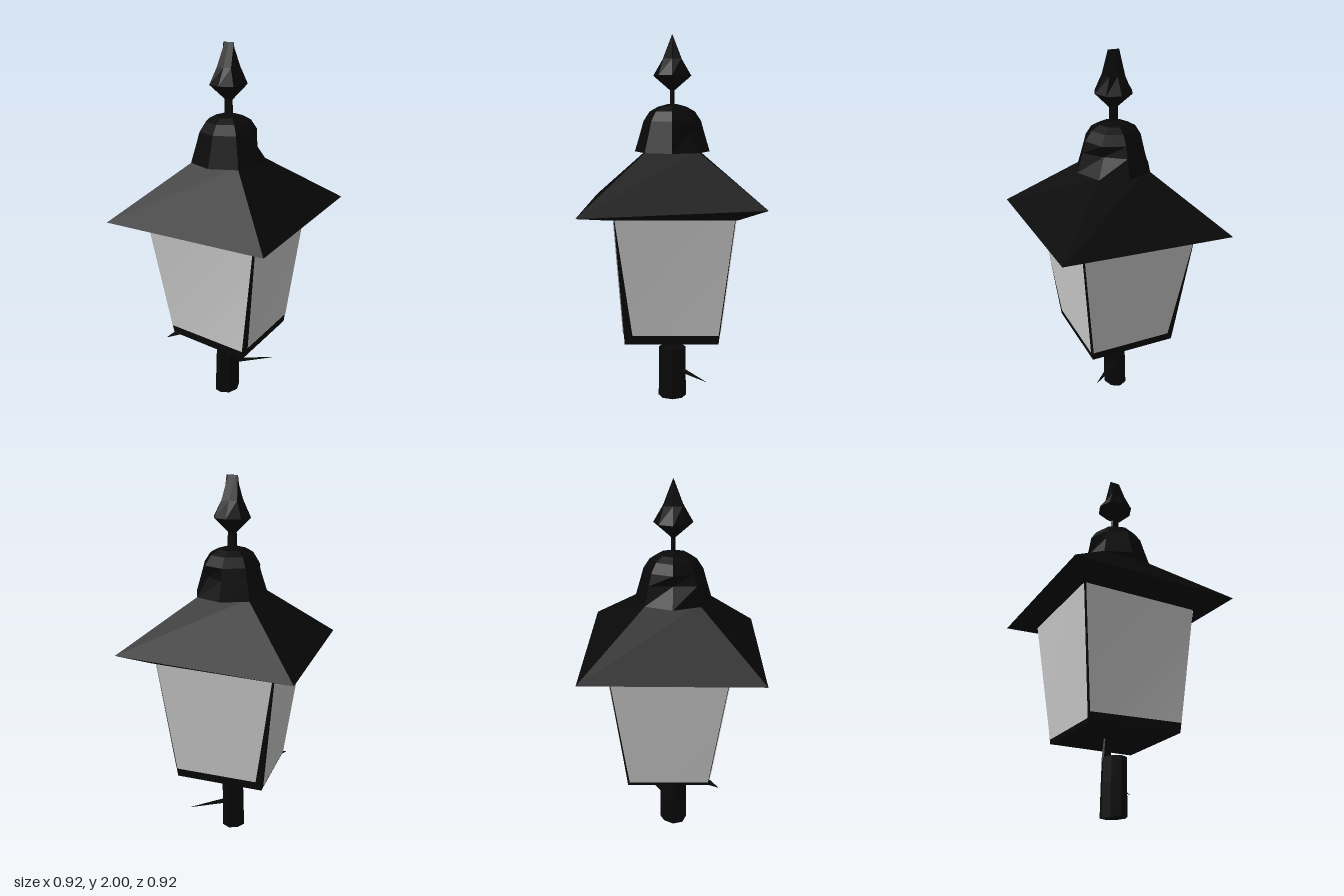
import * as THREE from 'three';

const black = new THREE.MeshStandardMaterial({ color: 0x080808, flatShading: true, side: THREE.DoubleSide });
const grey = new THREE.MeshStandardMaterial({ color: 0xcccccc, side: THREE.DoubleSide });

// Faceted solid through a stack of equal-sized rings, bottom to top, with end caps.
function loft(name, rings) {
  const pos = [];
  const tri = (a, b, c) => pos.push(...a, ...b, ...c);
  const n = rings[0].length;
  for (let r = 0; r < rings.length - 1; r++) {
    for (let i = 0; i < n; i++) {
      const j = (i + 1) % n, lo = rings[r], hi = rings[r + 1];
      tri(lo[i], lo[j], hi[j]);
      tri(lo[i], hi[j], hi[i]);
    }
  }
  const bottom = rings[0], top = rings[rings.length - 1];
  for (let i = 1; i < n - 1; i++) {
    tri(bottom[0], bottom[i + 1], bottom[i]);
    tri(top[0], top[i], top[i + 1]);
  }
  const g = new THREE.BufferGeometry();
  g.setAttribute('position', new THREE.Float32BufferAttribute(pos, 3));
  g.computeVertexNormals();
  const mesh = new THREE.Mesh(g, black);
  mesh.name = name;
  return mesh;
}

// Eight-sided ring with separate x and z radii.
function oval(y, rx, rz = rx, cx = 0, cz = 0) {
  return Array.from({ length: 8 }, (_, i) => {
    const a = (i / 8) * Math.PI * 2;
    return [cx + Math.cos(a) * rx, y, cz - Math.sin(a) * rz];
  });
}

// Four-cornered ring, counter-clockwise from above.
const square = (y, h) => [[h, y, h], [h, y, -h], [-h, y, -h], [-h, y, h]];

export function createModel() {
  const model = new THREE.Group();
  model.name = 'lantern';

  // Mounting post and the thin neck that carries the lantern
  const postFoot = oval(0.01, 0.066, 0.078, -0.008);
  postFoot[4][1] = postFoot[5][1] = 0;
  model.add(loft('post', [postFoot, oval(0.17, 0.064, 0.076, -0.006), oval(0.3, 0.061, 0.076, -0.003)]));
  model.add(loft('neck', [oval(0.28, 0.028, 0.013, -0.038, -0.02), oval(0.41, 0.019, 0.009, -0.033, -0.02)]));

  // Flat pointed spike on the post
  model.add(loft('postSpike', [
    [[0.03, 0.168, -0.03], [0.19, 0.17, -0.185], [0.0, 0.168, -0.06]],
    [[0.03, 0.175, -0.03], [0.19, 0.171, -0.185], [0.0, 0.175, -0.06]],
  ]));

  // Tapered dark body, one lower corner pushed in; shows as corner posts and base rail around the panes
  const low = [[0.232, 0.4, 0.25], [0.232, 0.4, -0.245], [-0.25, 0.4, -0.245], [-0.243, 0.4, 0.195]];
  const high = [[0.32, 1.09, 0.29], [0.302, 1.09, -0.32], [-0.325, 1.09, -0.318], [-0.325, 1.09, 0.29]];
  model.add(loft('bodyFrame', [low, high]));
  model.add(loft('baseCornerPoint', [
    [[-0.2, 0.4, 0.2], [-0.235, 0.4, 0.18], [-0.255, 0.39, 0.25]],
    [[-0.2, 0.41, 0.2], [-0.235, 0.41, 0.18], [-0.255, 0.393, 0.25]],
  ]));

  // Glass panes: left and right ring corner, outward direction, lower insets and lower edge
  const panes = [
    ['frontPane', 3, 0, [0, 1], 0.004, 0.002, 0.45],
    ['leftPane', 0, 1, [1, 0], 0.045, 0.006, 0.45],
    ['backPane', 1, 2, [0, -1], 0.006, 0.035, 0.45],
    ['rightPane', 2, 3, [-1, 0], 0.012, 0.004, 0.42],
  ];
  for (const [name, l, r, [nx, nz], insetL, insetR, y] of panes) {
    const at = (i, h) => new THREE.Vector3(...low[i]).lerp(new THREE.Vector3(...high[i]), (h - 0.4) / 0.69);
    const side = new THREE.Vector3(nz, 0, -nx);
    const out = new THREE.Vector3(nx, 0, nz).multiplyScalar(0.005);
    const corners = [
      at(l, y).addScaledVector(side, insetL), at(r, y).addScaledVector(side, -insetR),
      at(r, 1.085).addScaledVector(side, -0.003), at(l, 1.085).addScaledVector(side, 0.003),
    ].map((p) => p.add(out));
    const g = new THREE.BufferGeometry().setFromPoints(corners);
    g.setIndex([0, 1, 2, 0, 2, 3]);
    g.computeVertexNormals();
    const pane = new THREE.Mesh(g, grey);
    pane.name = name;
    model.add(pane);
  }

  // Overhanging roof with one eave corner lifted
  const eave = square(1.11, 0.46);
  eave[1][1] = 1.15;
  model.add(loft('roof', [square(1.08, 0.325), eave, square(1.41, 0.13)]));

  // Bell-shaped cap with two dents in its waist
  const waist = oval(1.5, 0.17);
  waist[4][0] = -0.125;
  waist[1] = [0.095, 1.5, -0.095];
  model.add(loft('cap', [oval(1.4, 0.2), waist, oval(1.56, 0.153), oval(1.61, 0.12), oval(1.635, 0.075), oval(1.65, 0.02)]));

  // Finial on its slim stem, squarish at the shoulder and narrowing to a ridge
  const shoulder = oval(1.88, 0.045, 0.05).map(([x, y, z], i) => (i % 2 ? [x * 1.3, y, z * 1.3] : [x, y, z]));
  model.add(loft('finial', [
    oval(1.64, 0.026, 0.011), oval(1.72, 0.024, 0.012), oval(1.795, 0.1), shoulder, oval(2, 0.03, 0.003),
  ]));

  return model;
}
